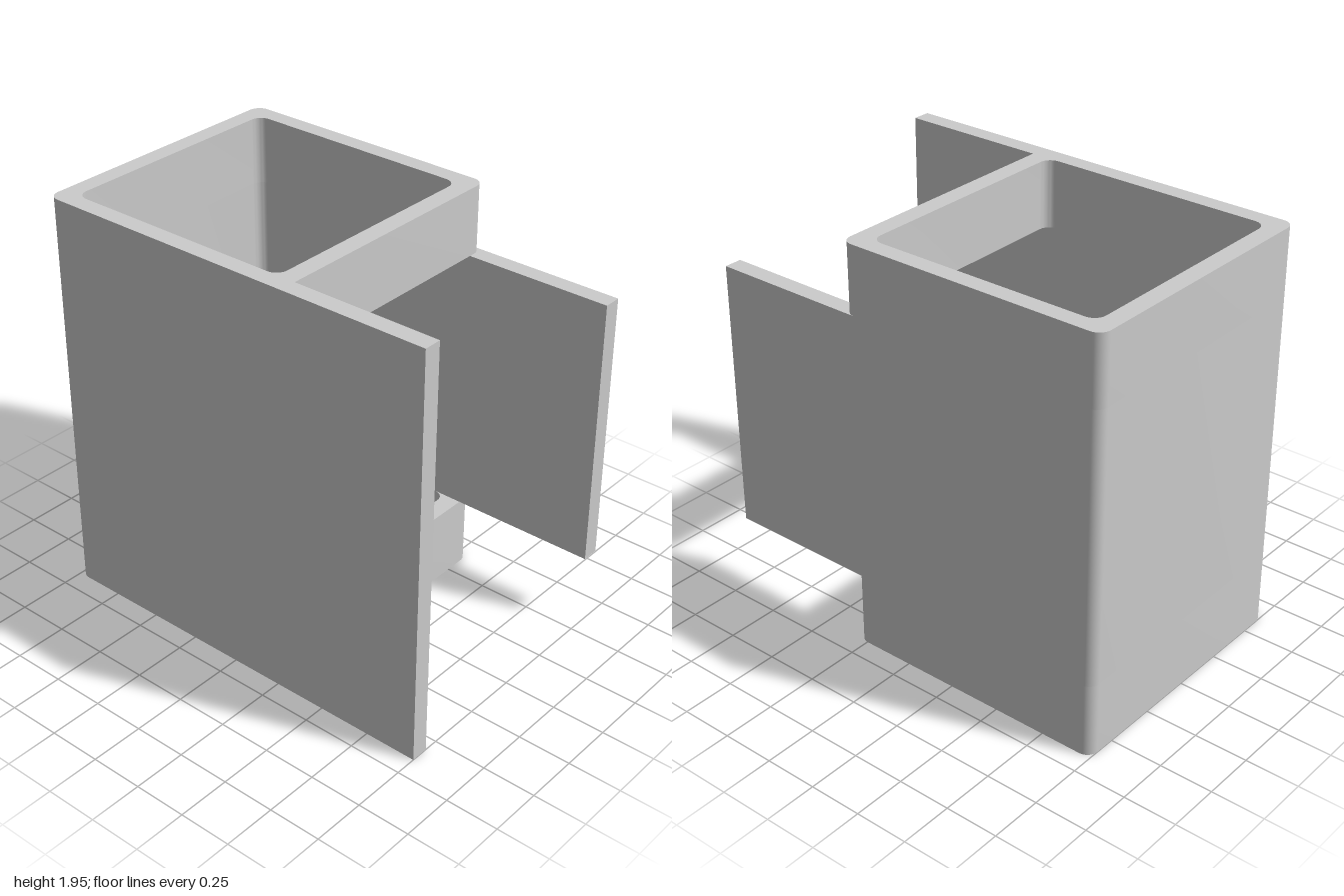
import * as THREE from 'three';
import { toCreasedNormals } from 'three/addons/utils/BufferGeometryUtils.js';

const R = 0.055;                         // corner rounding
const HEIGHT = 1.945, LOW = 0.35, HIGH = 1.626; // window between LOW and HIGH
const OUT = 0.65, INN = 0.567;           // outer and inner half depth
const X0 = -1, X1 = -0.915, X2 = 0.213, X3 = 0.3, X4 = 1;

// Trace corners [x, y, radius] into a path, rounding those with a radius
function trace(path, corners) {
  const n = corners.length;
  corners.forEach(([x, y, r = 0], i) => {
    const p = new THREE.Vector2(x, y);
    const toward = (c) => new THREE.Vector2(c[0], c[1]).sub(p).setLength(r).add(p);
    const a = r ? toward(corners[(i + n - 1) % n]) : p;
    if (i === 0) path.moveTo(a.x, a.y);
    else path.lineTo(a.x, a.y);
    if (r) {
      const b = toward(corners[(i + 1) % n]);
      const k = 0.5523;
      const c1 = a.clone().lerp(p, k), c2 = b.clone().lerp(p, k);
      path.bezierCurveTo(c1.x, c1.y, c2.x, c2.y, b.x, b.y);
    }
  });
  path.closePath();
  return path;
}

// Extrude a plan section (front edge at negative shape y) between two heights
function section(name, shape, bottom, top, material) {
  const extruded = new THREE.ExtrudeGeometry(shape, {
    depth: top - bottom, bevelEnabled: false, curveSegments: 10,
  });
  extruded.rotateX(-Math.PI / 2).translate(0, bottom, 0);
  const mesh = new THREE.Mesh(toCreasedNormals(extruded, 0.6), material);
  mesh.name = name;
  return mesh;
}

export function createModel() {
  const group = new THREE.Group();
  group.name = 'squareTubeBracket';
  const material = new THREE.MeshStandardMaterial({ color: 0xcccccc });

  // Closed tube with the long front plate
  const closed = trace(new THREE.Shape(), [
    [X0, -OUT, R], [X4, -OUT], [X4, -INN], [X3, -INN], [X3, OUT, R], [X0, OUT, R],
  ]);
  closed.holes.push(trace(new THREE.Path(), [
    [X1, -INN, R], [X1, INN, R], [X2, INN, R], [X2, -INN, R],
  ]));

  // Middle channel: side wall cut away, back wall extended into a flange
  const channel = trace(new THREE.Shape(), [
    [X0, -OUT, R], [X4, -OUT], [X4, -INN], [X1, -INN, R],
    [X1, INN, R], [X4, INN], [X4, OUT], [X0, OUT, R],
  ]);

  group.add(
    section('lowerTube', closed, 0, LOW, material),
    section('middleChannel', channel, LOW, HIGH, material),
    section('upperTube', closed, HIGH, HEIGHT, material),
  );
  return group;
}
